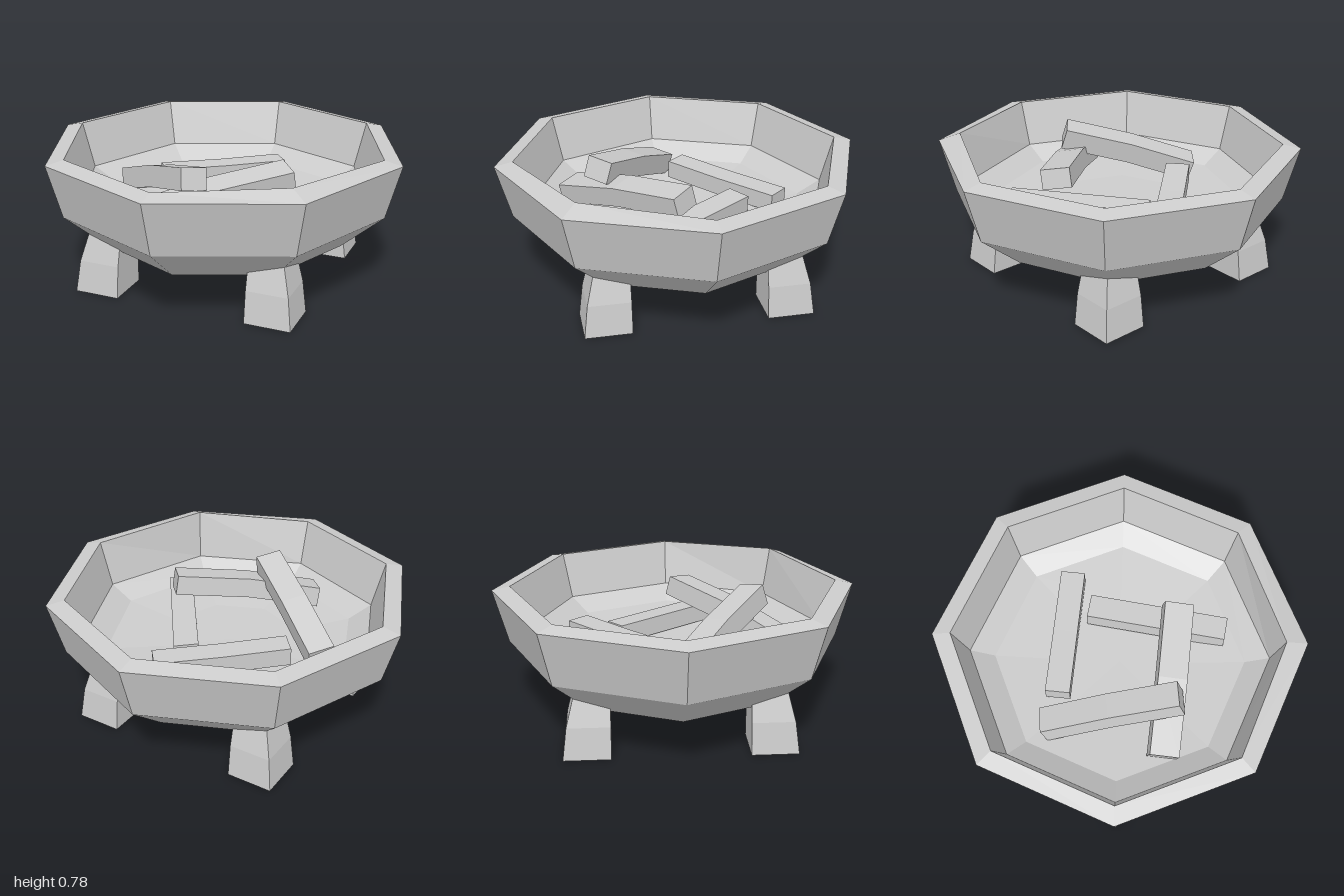
import * as THREE from 'three';

// Split faces so every facet gets its own flat normal
function faceted(geometry) {
  const g = geometry.index ? geometry.toNonIndexed() : geometry;
  g.computeVertexNormals();
  return g;
}

function named(name, geometry, material) {
  const mesh = new THREE.Mesh(faceted(geometry), material);
  mesh.name = name;
  return mesh;
}

// Eight-sided bowl: outer shell, bevelled rim and hollow inside in one profile
function bowlGeometry() {
  const profile = [
    [0, 0.135], [0.38, 0.137], [0.69, 0.24], [0.92, 0.437], [1, 0.735],
    [0.9, 0.757], [0.83, 0.5], [0.7, 0.425], [0.38, 0.395], [0, 0.39],
  ].map(([r, y]) => new THREE.Vector2(r, y));
  const g = new THREE.LatheGeometry(profile, 8);
  const p = g.attributes.position;
  // One inner rim corner is slightly raised and worn
  for (let i = 0; i < p.count; i++) {
    if (p.getY(i) > 0.75 && p.getX(i) > 0.5 && p.getZ(i) > 0.5) {
      p.setXYZ(i, 0.615, 0.776, 0.63);
    }
  }
  return g;
}

// Leg for the +x +z corner: straight inside, flared outside, mirrored by sx and sz
function legGeometry(sx, sz) {
  const g = new THREE.BoxGeometry(1, 0.35, 1, 1, 2, 1);
  const p = g.attributes.position;
  const outer = [0.617, 0.595, 0.55];
  for (let i = 0; i < p.count; i++) {
    const y = p.getY(i) + 0.175;
    const out = outer[Math.round(y / 0.175)];
    const x = p.getX(i) * sx > 0 ? out : 0.365;
    const z = p.getZ(i) * sz > 0 ? out : 0.365;
    p.setXYZ(i, x * sx, y, z * sz);
  }
  return g;
}

// Rough log between two end points, bowed a little in the middle
function log(name, from, to, width, height, roll, bow, material) {
  const a = new THREE.Vector3(...from);
  const b = new THREE.Vector3(...to);
  const dir = b.clone().sub(a);
  const g = new THREE.BoxGeometry(dir.length(), height, width, 2, 1, 1);
  const p = g.attributes.position;
  for (let i = 0; i < p.count; i++) {
    if (Math.abs(p.getX(i)) < 0.01) p.setY(i, p.getY(i) + bow);
  }
  g.rotateX(roll);
  dir.normalize();
  const side = dir.clone().cross(new THREE.Vector3(0, 1, 0)).normalize();
  const up = side.clone().cross(dir);
  g.applyMatrix4(new THREE.Matrix4().makeBasis(dir, up, side));
  const mesh = named(name, g, material);
  mesh.position.copy(a.add(b).multiplyScalar(0.5));
  return mesh;
}

export function createModel() {
  const model = new THREE.Group();
  model.name = 'fireBowl';
  const grey = new THREE.MeshStandardMaterial({ color: 0xcccccc });
  grey.name = 'pale grey';

  model.add(named('bowl', bowlGeometry(), grey));

  // Four corner legs
  for (const sx of [-1, 1]) {
    for (const sz of [-1, 1]) {
      const name = (sz > 0 ? 'front' : 'back') + (sx > 0 ? 'Left' : 'Right') + 'Leg';
      model.add(named(name, legGeometry(sx, sz), grey));
    }
  }

  // Stacked logs
  const logs = new THREE.Group();
  logs.name = 'logs';
  logs.add(
    log('backLog', [-0.405, 0.485, -0.065], [0.145, 0.465, -0.54], 0.135, 0.1, 0, -0.005, grey),
    log('lowLog', [0.075, 0.45, -0.33], [0.535, 0.45, 0.3], 0.135, 0.1, -0.06, 0, grey),
    log('middleLog', [-0.23, 0.48, 0.58], [0.4, 0.625, 0.045], 0.16, 0.11, 0.15, 0.02, grey),
    log('topLog', [-0.57, 0.46, 0], [0.02, 0.68, 0.45], 0.145, 0.12, -0.15, 0.015, grey),
  );
  model.add(logs);
  return model;
}
